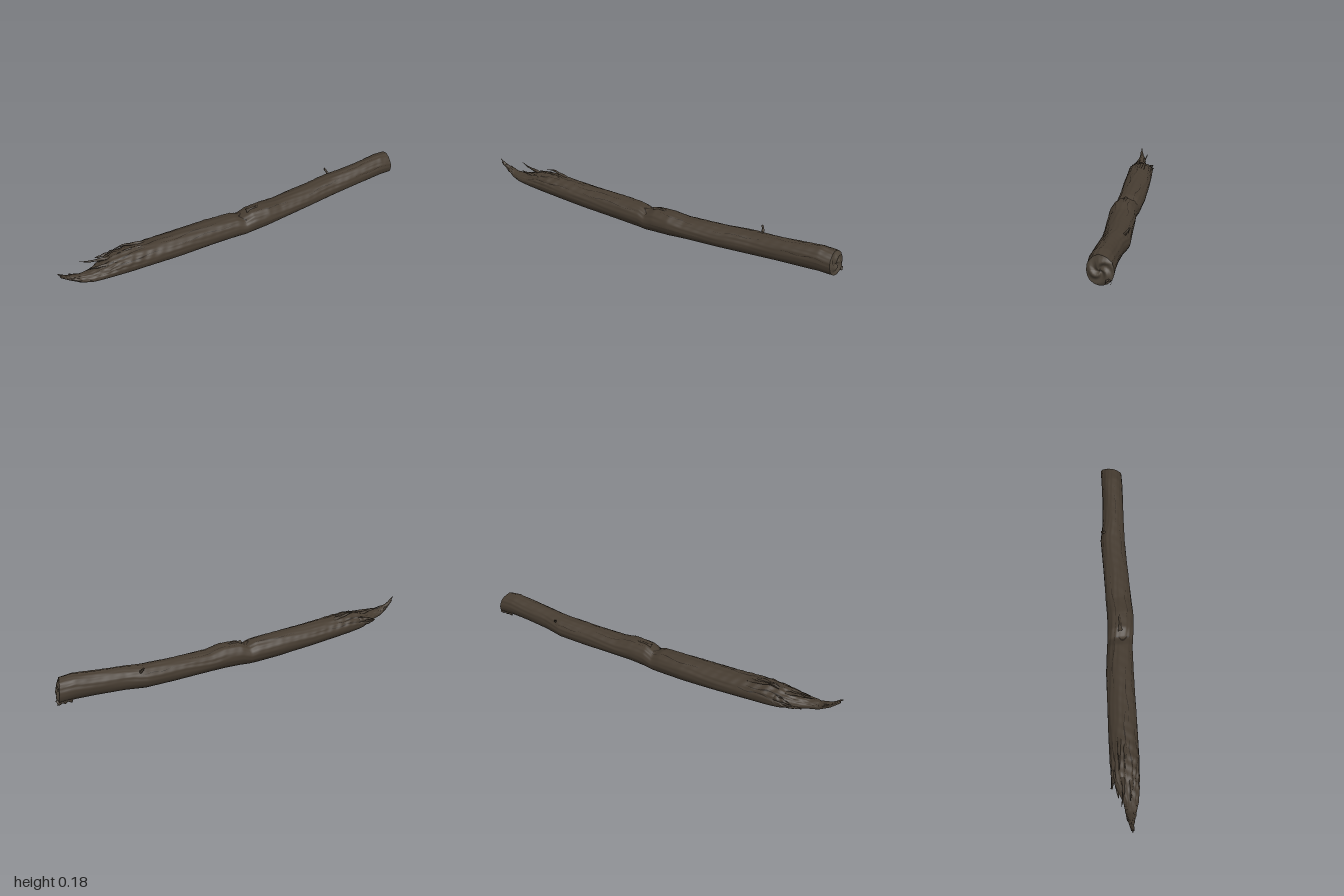
import * as THREE from 'three';

const bark = new THREE.MeshStandardMaterial({ color: 0x463c31 });
bark.name = 'bark brown';
const wood = new THREE.MeshStandardMaterial({ color: 0x4b4237 });
wood.name = 'broken wood brown';
const dark = new THREE.MeshStandardMaterial({ color: 0x2c251e, side: THREE.DoubleSide });
dark.name = 'crack brown';

// Log cross-sections: x, bottom, top, back z, front z
const stations = [
  [-0.99, 0.165, 0.178, -0.002, 0.012], [-0.95, 0.128, 0.158, -0.012, 0.014],
  [-0.90, 0.098, 0.137, -0.022, 0.030], [-0.85, 0.085, 0.135, -0.030, 0.045],
  [-0.78, 0.073, 0.145, -0.060, 0.054], [-0.72, 0.062, 0.158, -0.080, 0.058],
  [-0.65, 0.053, 0.165, -0.083, 0.062], [-0.40, 0.030, 0.150, -0.079, 0.066],
  [-0.20, 0.016, 0.142, -0.074, 0.066], [-0.06, 0.008, 0.132, -0.062, 0.070],
  [-0.02, 0.008, 0.116, -0.058, 0.075], [0.03, 0.010, 0.137, -0.054, 0.080],
  [0.12, 0.014, 0.139, -0.052, 0.085], [0.20, 0.018, 0.127, -0.054, 0.081],
  [0.40, 0.019, 0.131, -0.058, 0.073], [0.56, 0.024, 0.138, -0.062, 0.068],
  [0.66, 0.032, 0.146, -0.046, 0.070], [0.80, 0.040, 0.157, -0.038, 0.075],
  [0.90, 0.044, 0.166, -0.037, 0.077], [0.97, 0.040, 0.160, -0.037, 0.077],
];

function section(x) {
  let i = 0;
  while (i < stations.length - 2 && x > stations[i + 1][0]) i++;
  const a = stations[i], b = stations[i + 1];
  const t = THREE.MathUtils.clamp((x - a[0]) / (b[0] - a[0]), 0, 1);
  return a.map((v, k) => v + (b[k] - v) * t);
}

// Long-grained relief: rough on top, smooth underneath, torn at the left end
function relief(x, a) {
  const top = THREE.MathUtils.smoothstep(Math.sin(a), -0.3, 0.7);
  const torn = 1 - THREE.MathUtils.smoothstep(x, -0.85, -0.35);
  const grain = Math.sin(a * 9 + 2 * Math.sin(x * 5)) * Math.sin(x * 13 + a * 3)
    + 0.6 * Math.sin(a * 17 + x * 8 + Math.sin(x * 21));
  const chips = Math.sin(x * 71 + a * 6) * Math.sin(x * 43 - a * 11);
  return 0.012 * Math.sin(a * 3 + x * 4) + (0.006 + 0.016 * top) * grain
    + top * (0.012 + 0.07 * torn) * chips;
}

// Point on the log; a = 0 faces the front and PI/2 faces up
function surface(x, a, lift = 0, scale = 1) {
  const [, y0, y1, z0, z1] = section(x);
  const r = (1 + relief(x, a)) * scale;
  const y = (y0 + y1) / 2 + ((y1 - y0) / 2 * r + lift) * Math.sin(a);
  const z = (z0 + z1) / 2 + ((z1 - z0) / 2 * r + lift) * Math.cos(a);
  // Slanted cut at the right end
  const end = THREE.MathUtils.smoothstep(x, 0.85, 0.97);
  return new THREE.Vector3(x + end * (-0.22 * (z - 0.02) - 0.14 * (y - 0.1)), y, z);
}

// Mesh over a grid of points, rows by columns
function grid(name, rows, cols, material, point) {
  const pos = [], idx = [];
  for (let i = 0; i <= rows; i++)
    for (let j = 0; j <= cols; j++) pos.push(...point(i / rows, j / cols).toArray());
  for (let i = 0; i < rows; i++)
    for (let j = 0; j < cols; j++) {
      const p = i * (cols + 1) + j, q = p + cols + 1;
      idx.push(p, q, p + 1, q, q + 1, p + 1);
    }
  const geo = new THREE.BufferGeometry();
  geo.setAttribute('position', new THREE.Float32BufferAttribute(pos, 3));
  geo.setIndex(idx);
  geo.computeVertexNormals();
  const mesh = new THREE.Mesh(geo, material);
  mesh.name = name;
  return mesh;
}

// Tapered sliver along a path
function splinter(name, points, radius, material = bark, tip = 0.12) {
  const curve = new THREE.CatmullRomCurve3(points.map(p => new THREE.Vector3(...p)));
  const geo = new THREE.TubeGeometry(curve, 14, radius, 7);
  const p = geo.attributes.position, v = new THREE.Vector3();
  for (let i = 0; i < p.count; i++) {
    const t = Math.floor(i / 8) / 14, c = curve.getPointAt(t);
    const k = (1 - (1 - tip) * t) * (1 + 0.2 * Math.sin(t * 17 + (i % 8 % 7) * 2));
    v.fromBufferAttribute(p, i).sub(c).multiplyScalar(k).add(c);
    p.setXYZ(i, v.x, v.y, v.z);
  }
  geo.computeVertexNormals();
  const mesh = new THREE.Mesh(geo, material);
  mesh.name = name;
  return mesh;
}

// Thin dark crack following the grain
function crack(x0, x1, a, width, drift = 0.1) {
  return grid('crack', 24, 2, dark, (t, s) => {
    const w = width * Math.sin(Math.PI * t) * (0.7 + 0.3 * Math.sin(t * 23));
    const wander = a + drift * t + 0.06 * Math.sin(t * 11 + x0 * 9);
    return surface(x0 + (x1 - x0) * t, wander + (s - 0.5) * w, 0.0012);
  });
}

export function createModel() {
  const log = new THREE.Group();
  log.name = 'log';
  const TAU = Math.PI * 2;

  // Trunk and its two end faces
  log.add(grid('trunk', 260, 64, bark, (t, s) => surface(-0.99 + 1.96 * t, s * TAU)));
  log.add(grid('rightEndFace', 10, 64, wood, (t, s) => {
    const p = surface(0.97, s * TAU, 0, 1 - t);
    p.x += 0.006 * Math.sin(t * Math.PI) * (1 + Math.sin(s * TAU * 3 + t * 7));
    return p;
  }));
  log.add(grid('leftTipFace', 1, 64, wood, (t, s) => surface(-0.99, s * TAU, 0, t)));

  // Torn slivers at the left end
  const slivers = [
    [[[-0.90, 0.115, 0.004], [-0.95, 0.145, 0.003], [-0.98, 0.172, 0.004], [-1, 0.19, 0.005]], 0.016],
    [[[-0.86, 0.11, 0.02], [-0.92, 0.128, 0.018], [-0.97, 0.152, 0.008]], 0.015],
    [[[-0.84, 0.11, -0.012], [-0.90, 0.122, -0.016], [-0.945, 0.150, -0.015]], 0.014],
    [[[-0.74, 0.145, -0.025], [-0.80, 0.157, -0.026], [-0.84, 0.163, -0.032], [-0.88, 0.176, -0.04]], 0.010],
    [[[-0.70, 0.130, -0.066], [-0.75, 0.131, -0.072], [-0.79, 0.128, -0.080]], 0.015],
    [[[-0.68, 0.110, -0.068], [-0.74, 0.108, -0.074], [-0.785, 0.112, -0.084]], 0.014],
    [[[-0.72, 0.095, -0.055], [-0.79, 0.100, -0.054], [-0.83, 0.104, -0.05]], 0.016],
    [[[-0.70, 0.140, 0.015], [-0.79, 0.145, 0.012], [-0.85, 0.148, 0.004]], 0.014],
    [[[-0.72, 0.115, 0.042], [-0.80, 0.118, 0.040], [-0.87, 0.119, 0.032]], 0.014],
    [[[-0.55, 0.150, -0.03], [-0.62, 0.166, -0.036], [-0.66, 0.176, -0.038], [-0.71, 0.168, -0.042]], 0.011],
    [[[-0.56, 0.148, 0.0], [-0.64, 0.164, -0.008], [-0.70, 0.162, -0.012]], 0.012],
  ];
  slivers.forEach(([path, r]) => log.add(splinter('splinter', path, r)));

  // Raised bark lip beside the middle notch, twig stub and broken right corner
  log.add(splinter('barkLip', [[0.01, 0.130, 0.01], [0.07, 0.134, 0.012], [0.16, 0.128, 0.014]], 0.010));
  log.add(splinter('twigStub', [[0.59, 0.115, -0.03], [0.585, 0.135, -0.048], [0.575, 0.152, -0.060]], 0.008, bark, 0.5));
  log.add(splinter('brokenCorner', [[0.92, 0.066, -0.004], [0.96, 0.062, -0.010], [0.995, 0.058, -0.016]], 0.022, bark, 0.5));

  // Cracks: start x, end x, angle, width, drift
  [
    [-0.86, -0.56, 1.0, 0.14, 0.2], [-0.80, -0.48, 0.55, 0.10, 0.1], [-0.74, -0.40, 1.6, 0.10, -0.2],
    [-0.80, -0.55, 2.3, 0.16, 0.1], [-0.72, -0.5, 2.8, 0.12, -0.1], [-0.50, -0.16, 1.15, 0.06, 0.1],
    [-0.42, -0.08, 0.7, 0.05, 0.0], [-0.30, 0.02, 2.2, 0.07, -0.2], [0.02, 0.34, 1.9, 0.06, 0.2],
    [0.05, 0.26, 1.1, 0.05, -0.1], [0.36, 0.62, 0.8, 0.05, 0.1], [0.62, 0.86, 1.3, 0.05, 0.1],
    [0.70, 0.94, 0.4, 0.06, -0.1], [0.40, 0.60, 2.5, 0.05, 0.1],
  ].forEach(c => log.add(crack(...c)));

  // Cross crack in the middle notch
  log.add(grid('notchCrack', 24, 2, dark, (t, s) =>
    surface(-0.025 + 0.012 * Math.sin(t * 9) + (s - 0.5) * 0.012 * Math.sin(Math.PI * t), 0.7 + 1.3 * t, 0.0012)));
  return log;
}
